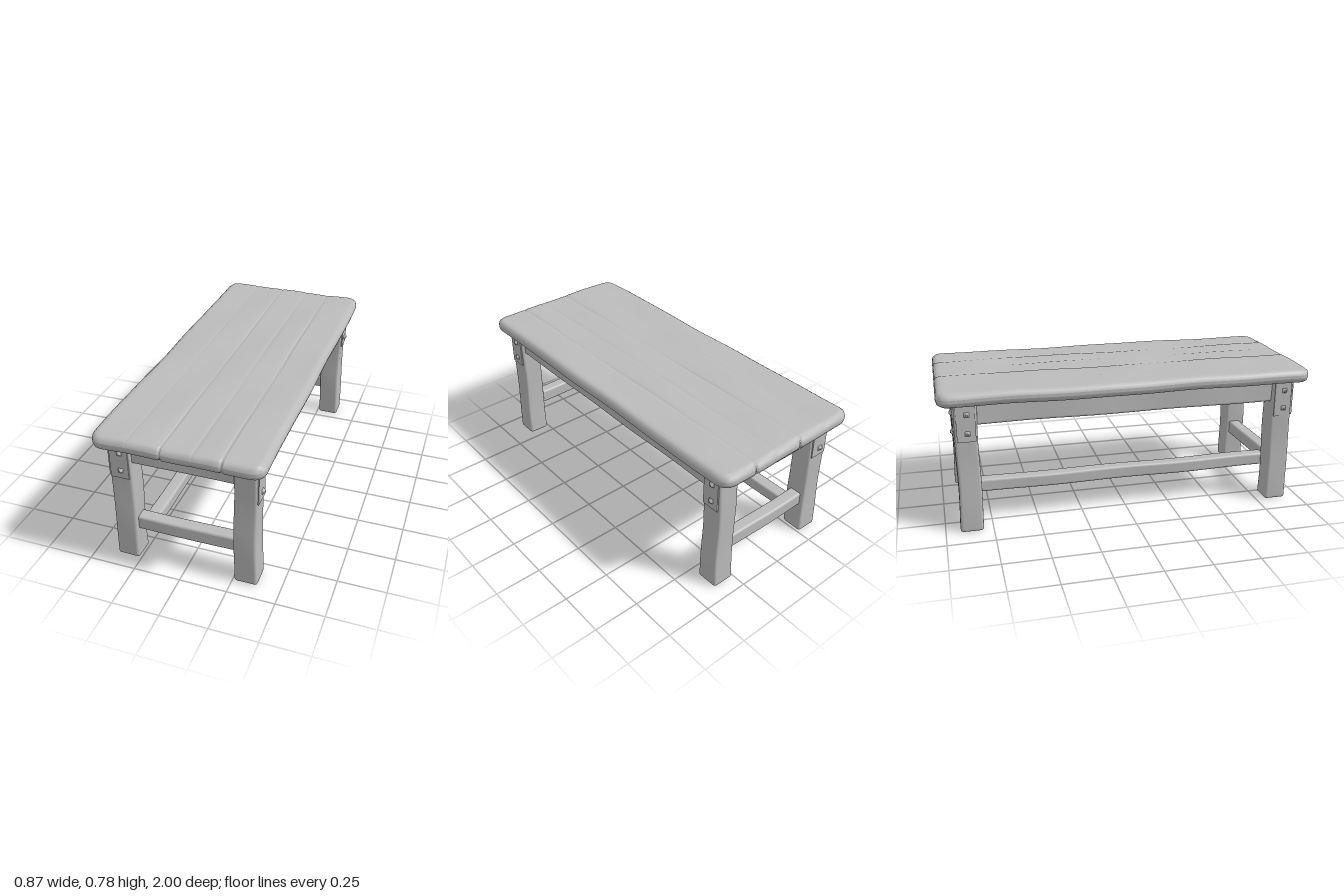
import * as THREE from 'three';
import { mergeVertices } from 'three/addons/utils/BufferGeometryUtils.js';

const wood = new THREE.MeshStandardMaterial({ color: 0xbcbcbc });
wood.name = 'plain grey';

const clamp = THREE.MathUtils.clamp;

// Grid lines along one axis: dense in the rounded band at both ends
function stations(half, band, n, extra = []) {
  const inner = half - band;
  const list = [...extra];
  for (const t of [0, 0.08, 0.3, 0.6]) list.push(-half + t * band, half - t * band);
  for (let i = 0; i <= n; i++) list.push(-inner + (2 * inner * i) / n);
  return list.sort((a, b) => a - b);
}

// Hand-hewn block: rounded in plan by 'corner', along top and bottom rims by 'rim',
// then handed to 'shape' for wear
function hewnBlock({ size, corner, rim, segs = [3, 3, 3], seamLines = [], shape }) {
  const [hx, hy, hz] = size.map((s) => s / 2);
  const band = Math.max(corner, rim);
  const lines = [
    stations(hx, band, segs[0], seamLines),
    stations(hy, hy * 0.3, segs[1]),
    stations(hz, band, segs[2]),
  ];
  const geo = new THREE.BoxGeometry(2, 2, 2, ...lines.map((l) => l.length - 1));
  const pos = geo.attributes.position;
  const p = new THREE.Vector3();
  const pick = (v, list) => list[Math.round(((v + 1) / 2) * (list.length - 1))];
  for (let i = 0; i < pos.count; i++) {
    p.set(pick(pos.getX(i), lines[0]), pick(pos.getY(i), lines[1]), pick(pos.getZ(i), lines[2]));
    const qx = clamp(p.x, -hx + band, hx - band);
    const qz = clamp(p.z, -hz + band, hz - band);
    const vx = p.x - qx, vz = p.z - qz;
    const reach = Math.max(Math.abs(vx), Math.abs(vz));
    const len = Math.hypot(vx, vz);
    if (len > 0) {
      p.x = qx + (vx * reach) / len;
      p.z = qz + (vz * reach) / len;
    }
    const inset = Math.min(band - reach, rim);
    const height = hy - rim + Math.sqrt(Math.max(0, rim * rim - (rim - inset) ** 2));
    p.y *= height / hy;
    if (shape) shape(p);
    pos.setXYZ(i, p.x, p.y, p.z);
  }
  geo.deleteAttribute('normal');
  geo.deleteAttribute('uv');
  const smooth = mergeVertices(geo, 1e-5);
  smooth.computeVertexNormals();
  return smooth;
}

// Gentle uneven wear
function wear(seed, amount) {
  return (p) => {
    const { x, y, z } = p;
    p.x += amount * Math.sin(9 * z + 11 * y + seed * 1.7);
    p.y += amount * 0.6 * Math.sin(8 * z + 13 * x + seed * 2.3);
    p.z += amount * Math.sin(12 * y + 10 * x + seed * 3.1);
  };
}

export function createModel() {
  const model = new THREE.Group();
  model.name = 'table';
  const add = (name, geo, x, y, z, parent = model) => {
    const mesh = new THREE.Mesh(geo, wood);
    mesh.name = name;
    mesh.position.set(x, y, z);
    parent.add(mesh);
    return mesh;
  };

  // Plank top: [seam x, groove depth, notch depth at the ends]
  const seams = [[-0.24, 0.002, 0], [-0.07, 0.005, 0.008], [0.09, 0.003, 0], [0.23, 0.005, 0.008]];
  const seamLines = seams.flatMap(([x]) => [x - 0.012, x - 0.005, x, x + 0.005, x + 0.012]);
  const topShape = (p) => {
    const { x, z } = p;
    const side = Math.sign(p.y);
    p.y += 0.002 * Math.sin(5 * z + 17 * x) + 0.0012 * Math.sin(13 * z - 8 * x);
    p.x += 0.003 * Math.sin(7 * z) * Math.abs(x / 0.43);
    for (const [sx, depth, notch] of seams) {
      const near = Math.max(0, 1 - Math.abs(x - sx) / 0.012);
      p.y -= side * near * depth * (0.75 + 0.25 * Math.sin(6 * z + sx * 40));
      if (Math.abs(z) > 0.94) p.z -= Math.sign(z) * near * notch;
    }
  };
  add('plankTop', hewnBlock({
    size: [0.865, 0.072, 2], corner: 0.065, rim: 0.028,
    segs: [12, 2, 40], seamLines, shape: topShape,
  }), 0, 0.741, 0);

  // Legs, slightly wider at the foot
  const legGeo = (seed) => {
    const wobble = wear(seed, 0.0025);
    return hewnBlock({
      size: [0.118, 0.71, 0.118], corner: 0.016, rim: 0.012, segs: [3, 10, 3],
      shape: (p) => {
        const flare = 1 + 0.03 * clamp(-p.y / 0.35, 0, 1);
        p.x *= flare;
        p.z *= flare;
        wobble(p);
      },
    });
  };
  for (const sx of [-1, 1]) for (const sz of [-1, 1]) {
    const name = `${sz > 0 ? 'front' : 'back'}${sx > 0 ? 'Left' : 'Right'}Leg`;
    add(name, legGeo(sx + 2 * sz), sx * 0.318, 0.36, sz * 0.86);
  }

  // Rails are built lying along z; end rails are turned across
  const rail = (name, thick, height, length, seed, x, y, z, across) => {
    const geo = hewnBlock({
      size: [thick, height, length], corner: 0.012, rim: 0.012,
      segs: [2, 3, 16], shape: wear(seed, 0.0025),
    });
    const mesh = add(name, geo, x, y, z);
    if (across) mesh.rotation.y = Math.PI / 2;
  };
  for (const s of [-1, 1]) {
    const end = s > 0 ? 'front' : 'back';
    rail(`${end}Apron`, 0.08, 0.118, 0.58, s + 3, 0, 0.65, s * 0.86, true);
    rail(`${end}Stretcher`, 0.07, 0.08, 0.58, s + 6, 0, 0.22, s * 0.86, true);
    rail(s > 0 ? 'leftApron' : 'rightApron', 0.08, 0.118, 1.68, s + 9, s * 0.322, 0.65, 0);
  }
  rail('longStretcher', 0.07, 0.07, 1.68, 12, -0.212, 0.2, 0);

  // Corner plates with square studs, facing +z before turning
  const plateGeo = new THREE.BoxGeometry(0.096, 0.19, 0.016);
  const studGeo = new THREE.CylinderGeometry(0.007, 0.02, 0.016, 4);
  studGeo.rotateY(Math.PI / 4);
  studGeo.rotateX(Math.PI / 2);
  const bracket = (name, x, z, turn) => {
    const group = new THREE.Group();
    group.name = name;
    add('plate', plateGeo, 0, 0, 0, group);
    for (const y of [0.05, -0.05]) add('stud', studGeo, 0.006, y, 0.014, group);
    group.position.set(x, 0.605, z);
    group.rotation.y = turn;
    model.add(group);
  };
  for (const sz of [-1, 1]) {
    for (const sx of [-1, 1]) bracket('sidePlate', sx * 0.376, sz * 0.86, (sx * Math.PI) / 2);
    bracket('endPlate', -0.32, sz * 0.917, sz > 0 ? 0 : Math.PI);
  }
  return model;
}
